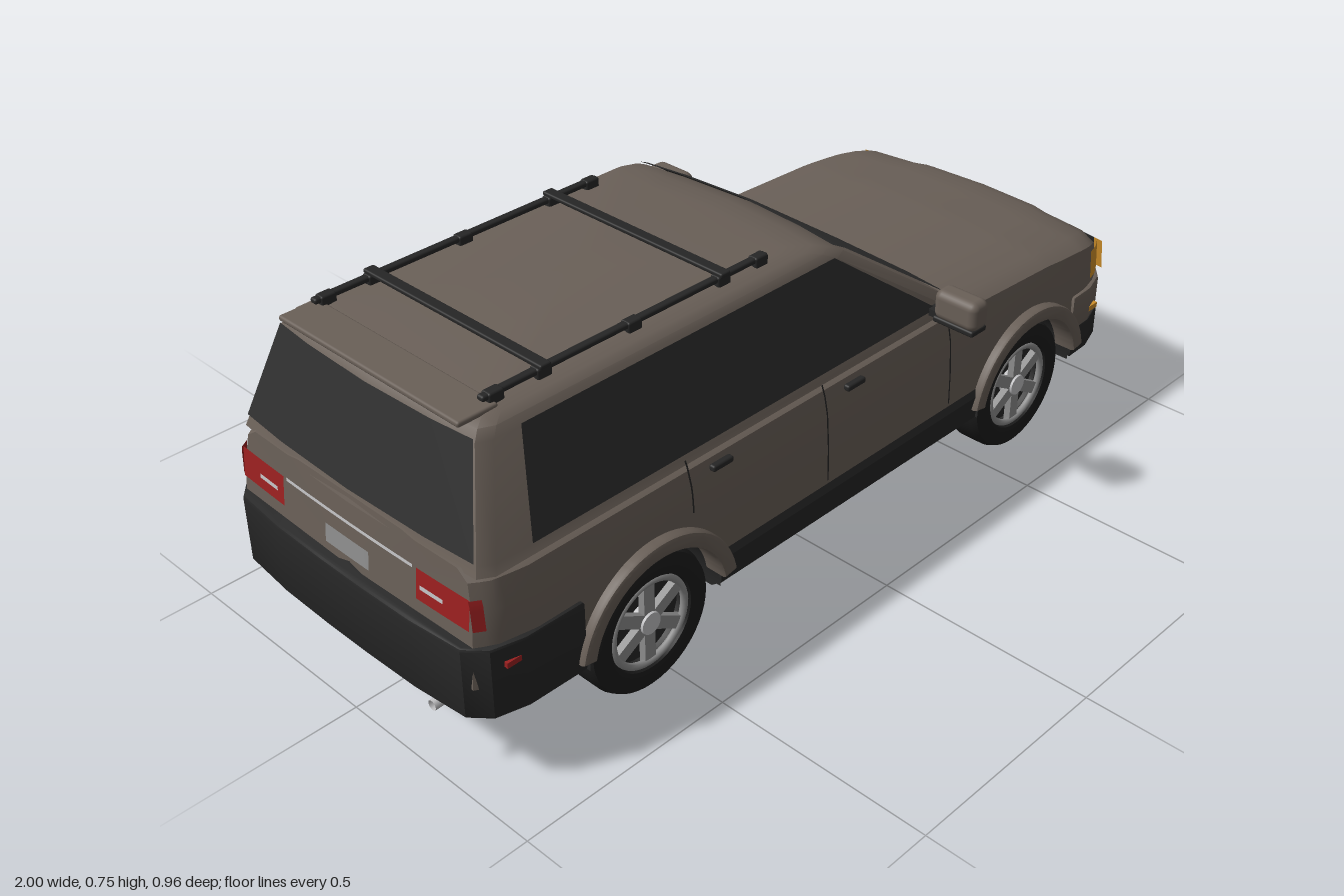
import * as THREE from 'three';
import { toCreasedNormals } from 'three/addons/utils/BufferGeometryUtils.js';
import { RoundedBoxGeometry } from 'three/addons/geometries/RoundedBoxGeometry.js';

const mat = (name, color) => new THREE.MeshStandardMaterial({ name, color, side: THREE.DoubleSide });
const paint = mat('brownPaint', 0x6a6058), glass = mat('darkGlass', 0x303030), trim = mat('blackTrim', 0x262626);
const rubber = mat('tyreRubber', 0x1c1c1c), chrome = mat('chrome', 0xc4c4c6), alloy = mat('alloy', 0x8e8e8e);
const lamp = mat('lampWhite', 0xdedede), amber = mat('amber', 0xd0902a), red = mat('red', 0x9c2020);

const WHEEL_X = [-0.56, 0.62], WHEEL_Y = 0.157, ARCH_R = 0.175;

// piecewise linear curve through [x, y] points
function curve(pts, x) {
  if (x <= pts[0][0]) return pts[0][1];
  for (let i = 1; i < pts.length; i++) {
    const [a, b] = [pts[i - 1], pts[i]];
    if (x <= b[0]) return a[1] + (b[1] - a[1]) * (x - a[0]) / (b[0] - a[0]);
  }
  return pts[pts.length - 1][1];
}

// surface grid from f(i, j) -> [x, y, z]
function grid(nu, nv, f, crease = 0.6) {
  const pos = [], idx = [];
  for (let i = 0; i <= nu; i++) for (let j = 0; j <= nv; j++) pos.push(...f(i, j));
  for (let i = 0; i < nu; i++) for (let j = 0; j < nv; j++) {
    const a = i * (nv + 1) + j, b = a + nv + 1;
    idx.push(a, b, b + 1, a, b + 1, a + 1);
  }
  const g = new THREE.BufferGeometry();
  g.setAttribute('position', new THREE.Float32BufferAttribute(pos, 3));
  g.setIndex(idx);
  return toCreasedNormals(g, crease);
}

// body shape rules
const plan = x => curve([[-0.965, 0.9], [-0.93, 0.96], [-0.85, 1], [0.75, 1], [0.85, 0.985], [0.9, 0.95], [0.935, 0.9]], x);
const topY = x => curve([[-0.965, 0.485], [0.3, 0.485], [0.38, 0.478], [0.7, 0.466], [0.85, 0.452], [0.91, 0.44], [0.935, 0.425]], x);
const sideZ = (x, y) => plan(x) * curve([[0.24, 0.385], [0.33, 0.383], [0.42, 0.376], [0.47, 0.362], [0.49, 0.352]], y);
const bottomY = x => Math.max(0.24, ...WHEEL_X.map(c => WHEEL_Y + Math.sqrt(Math.max(0, ARCH_R ** 2 - (x - c) ** 2))));
const noseBow = (y, z) => 0.03 * (1 - (z / 0.37) ** 2) - (y - 0.33) * 0.15;
const endX = (x, y, z) => x > 0.8 ? x + noseBow(y, z) * Math.min(1, (x - 0.8) / 0.12)
  : x < -0.9 ? x + ((y - 0.33) * 0.1 - 0.01 * (1 - (z / 0.37) ** 2)) * (-0.9 - x) / 0.065 : x;

function bodySection(x) {
  const t = topY(x), b = bottomY(x), s = t - 0.027, p = plan(x), half = [];
  for (let k = 0; k <= 4; k++) { const y = b + (s - b) * k / 4; half.push([y, sideZ(x, y)]); }
  half.push([t - 0.008, 0.335 * p], [t - 0.006, 0.21 * p], [t, 0.17 * p], [t + 0.002, 0]);
  return [...half, ...half.slice(0, -1).reverse().map(([y, z]) => [y, -z])];
}

// cabin outline at height y
const cabinRows = [0.47, 0.49, 0.69, 0.708, 0.719, 0.725];
const rearX = y => curve([[0.47, -0.957], [0.49, -0.95], [0.69, -0.89], [0.708, -0.875], [0.719, -0.85], [0.725, -0.8]], y);
const frontX = y => curve([[0.47, 0.4], [0.49, 0.375], [0.69, 0.09], [0.708, 0.055], [0.719, 0.02], [0.725, -0.04]], y);
const cabinZ = y => curve([[0.47, 0.362], [0.49, 0.356], [0.69, 0.298], [0.708, 0.288], [0.719, 0.272], [0.725, 0.24]], y);
function cabinRing(y) {
  const r = rearX(y), f = frontX(y), z = cabinZ(y);
  const half = [[f + 0.012, 0], [f, 0.6 * z], [f - 0.015, 0.95 * z], [f - 0.05, z], [r + 0.04, z], [r + 0.01, 0.95 * z], [r, 0.6 * z], [r - 0.006, 0]];
  return [...half, ...half.slice(0, -1).reverse().map(([x, q]) => [x, -q])];
}

export function createModel() {
  const model = new THREE.Group();
  const add = (name, geo, m, x = 0, y = 0, z = 0, parent = model) => {
    const mesh = new THREE.Mesh(geo, m);
    mesh.name = name; mesh.position.set(x, y, z); parent.add(mesh);
    return mesh;
  };
  const box = (name, m, w, h, d, x, y, z) => add(name, new THREE.BoxGeometry(w, h, d), m, x, y, z);
  const rbox = (name, m, w, h, d, x, y, z, r = 0.012) => add(name, new RoundedBoxGeometry(w, h, d, 3, r), m, x, y, z);
  const rod = (name, m, r, a, b) => add(name, new THREE.TubeGeometry(new THREE.LineCurve3(new THREE.Vector3(...a), new THREE.Vector3(...b)), 1, r, 10), m);

  // painted lower body, closed at both ends
  const N = 96;
  add('body', grid(N + 2, 16, (i, j) => {
    const x = -0.965 + 1.9 * Math.min(N, Math.max(0, i - 1)) / N;
    const [y, z] = bodySection(x)[j];
    return i === 0 || i === N + 2 ? [endX(x, 0.34, 0), 0.34, 0] : [endX(x, y, z), y, z];
  }), paint);

  // cabin and roof
  add('cabin', grid(cabinRows.length, 14, (i, j) => {
    if (i === cabinRows.length) return [-0.4, 0.728, 0];
    const [x, z] = cabinRing(cabinRows[i])[j];
    return [x, cabinRows[i], z];
  }), paint);
  add('rearSpoiler', new RoundedBoxGeometry(0.09, 0.012, 0.52, 2, 0.005), paint, -0.85, 0.721, 0);

  // windows
  const screenY = [0.488, 0.69, 0.705];
  add('windshield', grid(2, 4, (i, j) => {
    const y = screenY[i], [x, z] = cabinRing(y)[[12, 13, 0, 1, 2][j]];
    return [x + 0.005, y + 0.003, z];
  }), glass);
  add('rearWindow', grid(1, 4, (i, j) => {
    const y = [0.497, 0.697][i], [x, z] = cabinRing(y)[5 + j];
    return [x - 0.006, y, z];
  }), glass);
  for (const s of [1, -1]) {
    add('sideWindow', grid(1, 3, (i, j) => {
      const y = [0.492, 0.695][i];
      return [[[0.3, -0.07, -0.45, -0.83], [0.03, -0.1, -0.45, -0.79]][i][j], y, s * (cabinZ(y) + 0.004)];
    }), glass);
  }

  // plates that follow the sides and the nose
  const sidePlate = (name, m, s, x0, x1, y0, y1, off = 0.004) => add(name, grid(6, 6, (i, j) => {
    const x = x0 + (x1 - x0) * i / 6, y = y0 + (y1 - y0) * j / 6;
    return [x, y, s * (sideZ(x, y) + off)];
  }), m);
  const nosePlate = (name, m, z0, z1, y0, y1, off) => add(name, grid(2, 8, (i, j) => {
    const y = y0 + (y1 - y0) * i / 2, z = z0 + (z1 - z0) * j / 8;
    return [0.935 + noseBow(y, z) + off, y, z];
  }), m);
  const tailPlate = (name, m, z0, z1, y0, y1, off = 0.005) => add(name, grid(1, 6, (i, j) => {
    const y = y0 + (y1 - y0) * i, z = z1 + (z0 - z1) * j / 6;
    return [endX(-0.965, y, z) - off, y, z];
  }), m);

  // grille and headlamps
  nosePlate('grilleSurround', trim, -0.196, 0.196, 0.322, 0.414, 0.005);
  nosePlate('grille', chrome, -0.185, 0.185, 0.32, 0.398, 0.009);
  nosePlate('grilleTopBar', chrome, -0.185, 0.185, 0.402, 0.411, 0.009);
  nosePlate('leftDarkLamp', trim, 0.2, 0.335, 0.33, 0.41, 0.006);
  nosePlate('lampGlint', lamp, 0.275, 0.315, 0.39, 0.406, 0.009);
  nosePlate('rightLamp', lamp, -0.335, -0.2, 0.33, 0.41, 0.006);
  for (const z of [-0.235, -0.29]) {
    add('lampLens', new THREE.CircleGeometry(0.02, 20), trim, 0.946 + noseBow(0.372, z), 0.372, z).rotation.y = Math.PI / 2;
  }

  // bumpers: plan outline extruded upward
  const bumper = (name, m, pts, y, h) => {
    const shape = new THREE.Shape([...pts, ...pts.slice().reverse().map(([x, z]) => [x, -z])].map(p => new THREE.Vector2(...p)));
    const g = new THREE.ExtrudeGeometry(shape, { depth: h - 0.012, bevelThickness: 0.006, bevelSize: 0.006, bevelOffset: -0.006, bevelSegments: 2 });
    add(name, toCreasedNormals(g.rotateX(-Math.PI / 2), 0.6), m, 0, y + 0.006, 0);
  };
  const nose = [[0.8, 0.388], [0.87, 0.385], [0.93, 0.365], [0.965, 0.335], [0.985, 0.28], [0.995, 0.18], [1, 0.06]];
  bumper('frontBumperLower', trim, nose, 0.16, 0.075);
  bumper('frontBumper', paint, nose.map(([x, z]) => [x - 0.006, z]), 0.232, 0.09);
  bumper('rearBumper', trim, [[-0.745, 0.39], [-0.88, 0.388], [-0.95, 0.37], [-0.985, 0.33], [-0.997, 0.2], [-1, 0.06]].reverse(), 0.17, 0.16);

  for (const s of [1, -1]) {
    nosePlate('turnSignal', amber, s * 0.335, s * 0.36, 0.335, 0.41, 0.006);
    sidePlate('turnSignalSide', amber, s, 0.87, 0.932, 0.34, 0.41, 0.005);
    add('fogLamp', new THREE.CylinderGeometry(0.026, 0.026, 0.03, 20).rotateZ(Math.PI / 2), lamp, 0.975, 0.206, s * 0.285);
    box('frontSideMarker', amber, 0.035, 0.013, 0.01, 0.885, 0.26, s * 0.378);
    box('rearSideMarker', red, 0.04, 0.012, 0.01, -0.905, 0.288, s * 0.38);

    // tail lamps with a bright divider
    tailPlate('tailLamp', red, s * 0.2, s * 0.34, 0.365, 0.43);
    tailPlate('tailLampDivider', chrome, s * 0.215, s * 0.275, 0.393, 0.402, 0.009);
    sidePlate('tailLampSide', red, s, -0.965, -0.945, 0.365, 0.43);

    // door seams and handles
    for (const x of [-0.07, 0.33]) sidePlate('doorSeam', trim, s, x - 0.002, x + 0.002, 0.25, 0.485, 0.002);
    sidePlate('rearDoorSeam', trim, s, -0.457, -0.453, 0.37, 0.485, 0.002);
    for (const x of [-0.375, 0.015]) rbox('doorHandle', s > 0 ? trim : chrome, 0.055, 0.014, 0.016, x, 0.442, s * 0.377, 0.005);

    // mirrors
    rbox('mirror', paint, 0.055, 0.068, 0.11, 0.292, 0.522, s * 0.427, 0.018);
    rbox('mirrorBase', trim, 0.05, 0.014, 0.105, 0.292, 0.486, s * 0.425, 0.005);
    box('mirrorArm', trim, 0.04, 0.016, 0.07, 0.295, 0.492, s * 0.37);

    // roof rails on feet
    rbox('roofRail', trim, 0.72, 0.012, 0.018, -0.47, 0.737, s * 0.24, 0.005);
    for (const x of [-0.8, -0.69, -0.47, -0.235, -0.13]) rbox('railFoot', trim, 0.035, 0.03, 0.024, x, 0.729, s * 0.24, 0.005);
  }
  for (const x of [-0.69, -0.235]) rbox('crossBar', trim, 0.026, 0.01, 0.51, x, 0.746, 0, 0.004);
  tailPlate('tailStrip', chrome, -0.19, 0.19, 0.425, 0.432);
  tailPlate('numberPlate', alloy, -0.065, 0.065, 0.355, 0.395);

  // sills and floor between the wheels
  const sill = [[0.36, 0.145], [0.386, 0.165], [0.392, 0.225], [0.38, 0.252]];
  const sillShape = new THREE.Shape([...sill, ...sill.slice().reverse().map(([z, y]) => [-z, y])].map(p => new THREE.Vector2(...p)));
  add('sillsAndFloor', new THREE.ExtrudeGeometry(sillShape, { depth: 0.82, bevelEnabled: false }).rotateY(Math.PI / 2), trim, -0.385, 0, 0);
  box('chassis', trim, 1.8, 0.22, 0.5, 0, 0.275, 0);

  // wheels, arches and axles
  const tyre = [[0.098, -0.046], [0.135, -0.05], [0.151, -0.043], [0.157, -0.028], [0.157, 0.028], [0.151, 0.043], [0.135, 0.05], [0.106, 0.046], [0.098, 0.025]];
  const tyreGeo = toCreasedNormals(new THREE.LatheGeometry(tyre.map(p => new THREE.Vector2(...p)), 48).rotateX(Math.PI / 2), 0.7);
  const arch = new THREE.Shape();
  arch.absarc(0, 0, 0.208, 0.18, Math.PI - 0.18, false);
  arch.absarc(0, 0, 0.173, Math.PI - 0.18, 0.18, true);
  const archGeo = toCreasedNormals(new THREE.ExtrudeGeometry(arch, { depth: 0.045, bevelThickness: 0.008, bevelSize: 0.008, bevelOffset: -0.008, bevelSegments: 2, curveSegments: 32 }), 0.6);
  for (const x of WHEEL_X) {
    for (const s of [1, -1]) {
      const wheel = new THREE.Group();
      wheel.name = 'wheel';
      wheel.position.set(x, WHEEL_Y, s * 0.325);
      if (s < 0) wheel.rotation.y = Math.PI;
      model.add(wheel);
      add('tyre', tyreGeo, rubber, 0, 0, 0, wheel);
      add('wheelBack', new THREE.CylinderGeometry(0.1, 0.1, 0.05, 32).rotateX(Math.PI / 2), trim, 0, 0, -0.012, wheel);
      add('rimLip', new THREE.TorusGeometry(0.096, 0.008, 8, 40), alloy, 0, 0, 0.037, wheel);
      add('hub', new THREE.CylinderGeometry(0.024, 0.03, 0.03, 20).rotateX(Math.PI / 2), chrome, 0, 0, 0.03, wheel);
      for (let k = 0; k < 6; k++) {
        const spoke = new THREE.BoxGeometry(0.08, 0.028, 0.016).translate(0.056, 0, 0.032).rotateZ(Math.PI / 2 + k * Math.PI / 3);
        add('spoke', spoke, alloy, 0, 0, 0, wheel);
      }
      add('wheelArch', archGeo, paint, x, WHEEL_Y, s > 0 ? 0.352 : -0.397);
      const liner = new THREE.CylinderGeometry(0.174, 0.174, 0.14, 32, 1, true, -Math.PI / 2, Math.PI).rotateX(-Math.PI / 2);
      add('archLiner', liner, trim, x, WHEEL_Y, s * 0.315);
      rod('suspensionArm', trim, 0.01, [x, 0.145, s * 0.14], [x, 0.11, s * 0.28]);
    }
    rod('axle', trim, 0.016, [x, WHEEL_Y, -0.3], [x, WHEEL_Y, 0.3]);
  }

  // underside details
  for (const z of [-0.17, 0.17]) box('frameRail', trim, 1.6, 0.02, 0.04, 0, 0.15, z);
  for (const x of [-0.25, 0, 0.25]) box('crossMember', trim, 0.03, 0.012, 0.6, x, 0.142, 0);
  rod('driveShaft', trim, 0.015, [-0.56, 0.15, 0], [0.6, 0.15, 0]);
  rbox('muffler', trim, 0.18, 0.05, 0.12, -0.82, 0.165, 0.2, 0.02);
  rod('exhaustTip', chrome, 0.011, [-0.9, 0.162, 0.25], [-0.998, 0.16, 0.25]);
  return model;
}
